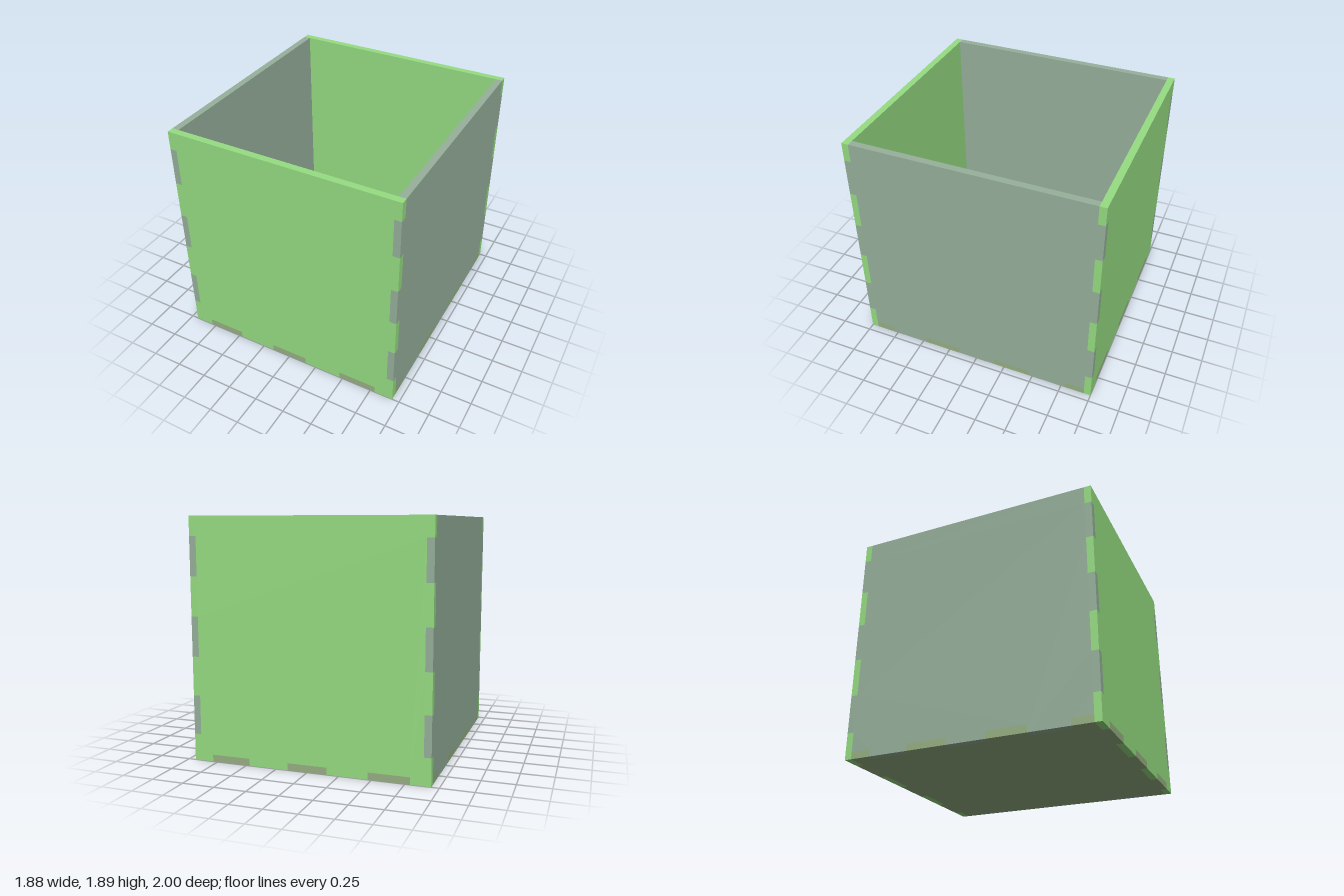
import * as THREE from 'three';

const W = 0.942, D = 1, H = 1.89, T = 0.055; // half width, half depth, height, board thickness
const STEPS = [0.21, 0.515, 0.82, 1.13, 1.435, 1.74]; // heights where the corner fingers swap
const A = 0.156, B = 0.472, C = 0.787; // finger positions along the bottom edges

// Mirrors half an outline (u >= 0) and extrudes it to a board
function board(name, half, color) {
  const mirrored = half.slice().reverse().filter(([u]) => u > 0).map(([u, v]) => [-u, v]);
  const shape = new THREE.Shape([...half, ...mirrored].map(([u, v]) => new THREE.Vector2(u, v)));
  const geometry = new THREE.ExtrudeGeometry(shape, { depth: T, bevelEnabled: false });
  const mesh = new THREE.Mesh(geometry, new THREE.MeshStandardMaterial({ color }));
  mesh.name = name;
  return mesh;
}

// Castellated vertical edge alternating between two widths, starting at first
function fingerEdge(first, second) {
  const points = [];
  let [u, next] = [first, second];
  for (const y of STEPS) {
    points.push([u, y], [next, y]);
    [u, next] = [next, u];
  }
  return [...points, [u, H]];
}

// Castellated edge along u alternating between two levels, starting at first
function fingerRow(first, second) {
  return [[0, first], [A, first], [A, second], [B, second], [B, first], [C, first], [C, second]];
}

export function createModel() {
  const group = new THREE.Group();
  group.name = 'openBox';

  // Front and back walls
  const wall = [...fingerRow(T, 0), [W, 0], ...fingerEdge(W, W - T)];
  const front = board('frontWall', wall, 0x96dd82);
  front.position.z = D - T;
  const back = board('backWall', wall, 0x96dd82);
  back.position.z = -D;

  // Side walls
  const side = [...fingerRow(0, T), [D - T, T], ...fingerEdge(D - T, D)];
  const sides = [['leftWall', W - T], ['rightWall', -W]].map(([name, x]) => {
    const mesh = board(name, side, 0x96b09b);
    mesh.rotation.y = Math.PI / 2;
    mesh.position.x = x;
    return mesh;
  });

  // Floor with tabs on all four edges
  const quarter = [
    ...fingerRow(D, D - T), [W, D - T], [W, C], [W - T, C],
    [W - T, B], [W, B], [W, A], [W - T, A],
  ];
  const floorHalf = [...quarter, ...quarter.slice().reverse().map(([u, v]) => [u, -v])];
  const floor = board('floor', floorHalf, 0x96b082);
  floor.rotation.x = Math.PI / 2;
  floor.position.y = T;

  group.add(front, back, ...sides, floor);
  return group;
}
